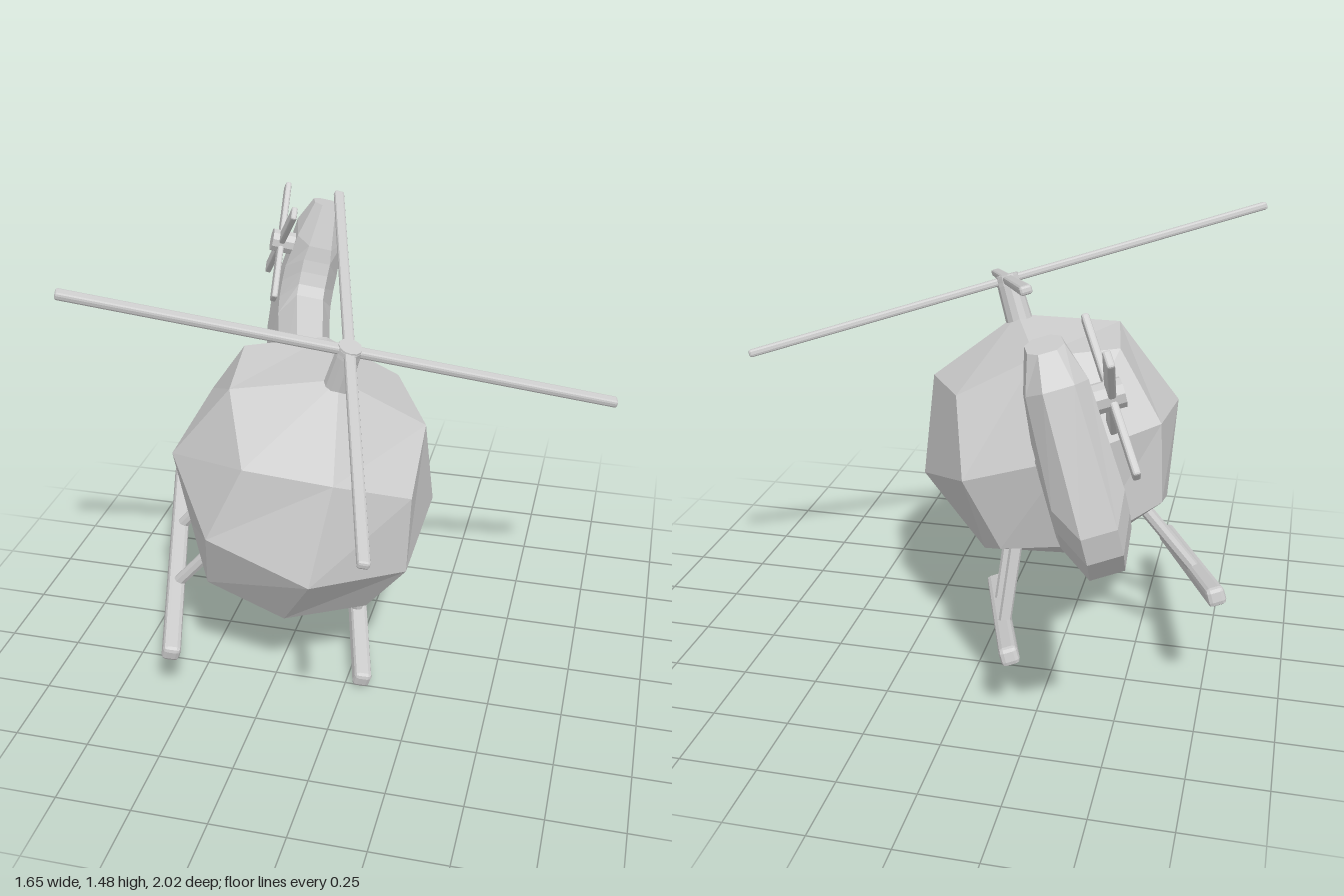
import * as THREE from 'three';
import { RoundedBoxGeometry } from 'three/addons/geometries/RoundedBoxGeometry.js';

const grey = new THREE.MeshStandardMaterial({ color: 0xcccccc, flatShading: true });

function part(parent, name, geometry, x = 0, y = 0, z = 0) {
  const mesh = new THREE.Mesh(geometry, grey);
  mesh.name = name;
  mesh.position.set(x, y, z);
  parent.add(mesh);
  return mesh;
}

// Faceted ellipsoid: a 2x2x2 divided box pushed out to a rounded shape
function cabinGeometry() {
  const geo = new THREE.BoxGeometry(2, 2, 2, 2, 2, 2);
  const pos = geo.attributes.position;
  const reach = [0, 1, 0.725, 0.6]; // face centre, edge middle, corner
  for (let i = 0; i < pos.count; i++) {
    const p = [pos.getX(i), pos.getY(i), pos.getZ(i)].map(Math.round);
    const k = reach[p.filter((c) => c !== 0).length];
    pos.setXYZ(i, p[0] * k * 0.45, p[1] * k * 0.43, p[2] * k * 0.505);
  }
  return geo;
}

// Tail boom bending up into the fin: octagonal sections lofted together
function tailGeometry() {
  // upper y, upper z, lower y, lower z, half width
  const sections = [
    [0.09, -0.38, -0.24, -0.36, 0.09],
    [0.13, -0.83, -0.24, -0.8, 0.1],
    [0.16, -0.86, -0.243, -1.0, 0.1],
    [0.2, -0.885, -0.174, -1.1, 0.1],
    [0.24, -0.905, -0.095, -1.135, 0.1],
    [0.29, -0.925, 0.299, -1.137, 0.085],
    [0.427, -1.0, 0.394, -1.1, 0.05],
  ];
  const across = [0.5, 1, 1, 0.5, -0.5, -1, -1, -0.5];
  const down = [0, 0.25, 0.75, 1, 1, 0.75, 0.25, 0];
  const points = [], index = [];
  sections.forEach(([y0, z0, y1, z1, w], i) => {
    for (let j = 0; j < 8; j++) {
      const t = down[j], a = i * 8 + j, b = i * 8 + (j + 1) % 8;
      points.push(across[j] * w, y0 + (y1 - y0) * t, z0 + (z1 - z0) * t);
      if (i < sections.length - 1) index.push(a, b, b + 8, a, b + 8, a + 8);
    }
  });
  const last = (sections.length - 1) * 8;
  for (let j = 1; j < 7; j++) index.push(last, last + j, last + j + 1);
  const geo = new THREE.BufferGeometry();
  geo.setAttribute('position', new THREE.Float32BufferAttribute(points, 3));
  geo.setIndex(index);
  geo.computeVertexNormals();
  return geo;
}

function strut(parent, name, from, to, radius) {
  const a = new THREE.Vector3(...from), b = new THREE.Vector3(...to);
  const dir = b.clone().sub(a);
  const mesh = part(parent, name, new THREE.CylinderGeometry(radius, radius, dir.length(), 8));
  mesh.position.copy(a).add(b).multiplyScalar(0.5);
  mesh.quaternion.setFromUnitVectors(new THREE.Vector3(0, 1, 0), dir.normalize());
}

export function createModel() {
  const model = new THREE.Group();
  model.name = 'helicopter';

  // The craft is built level about its cabin centre, then banked and turned
  const craft = new THREE.Group();
  craft.name = 'craft';
  model.add(craft);

  part(craft, 'cabin', cabinGeometry());
  part(craft, 'tail', tailGeometry());

  // Main rotor
  part(craft, 'mast', new THREE.CylinderGeometry(0.04, 0.047, 0.2, 12), 0, 0.46, 0);
  const rotor = new THREE.Group();
  rotor.name = 'mainRotor';
  rotor.position.y = 0.55;
  craft.add(rotor);
  part(rotor, 'rotorCap', new THREE.CylinderGeometry(0.038, 0.042, 0.034, 12));
  part(rotor, 'crossBlade', new RoundedBoxGeometry(1.8, 0.026, 0.036, 1, 0.008));
  part(rotor, 'lengthBlade', new RoundedBoxGeometry(0.036, 0.026, 1.8, 1, 0.008));

  // Tail rotor on the right of the fin
  const tailRotor = new THREE.Group();
  tailRotor.name = 'tailRotor';
  tailRotor.position.set(-0.135, 0.23, -1.01);
  craft.add(tailRotor);
  part(tailRotor, 'tailRotorHub', new THREE.CylinderGeometry(0.042, 0.042, 0.12, 10), 0.025).rotation.z = Math.PI / 2;
  for (const angle of [60, 150]) {
    const blade = part(tailRotor, 'tailBlade', new RoundedBoxGeometry(0.022, 0.05, 0.48, 1, 0.006));
    blade.rotation.x = -THREE.MathUtils.degToRad(angle);
  }

  // Landing skids
  for (const side of [-1, 1]) {
    part(craft, 'skid', new RoundedBoxGeometry(0.06, 0.06, 0.92, 1, 0.015), side * 0.333, -0.543, -0.06);
    for (const z of [0.08, -0.2]) {
      strut(craft, 'skidStrut', [side * 0.333, -0.54, z], [side * 0.2, -0.24, z], 0.021);
    }
  }

  // Attitude of the craft: left, up and forward axes
  const forward = new THREE.Vector3(0.267, -0.233, 0.935).normalize();
  const up = forward.clone().cross(new THREE.Vector3(0.91, -0.255, -0.327)).normalize();
  const left = up.clone().cross(forward);
  craft.quaternion.setFromRotationMatrix(new THREE.Matrix4().makeBasis(left, up, forward));
  craft.position.set(-0.175, 0.723, 0.08);
  return model;
}
